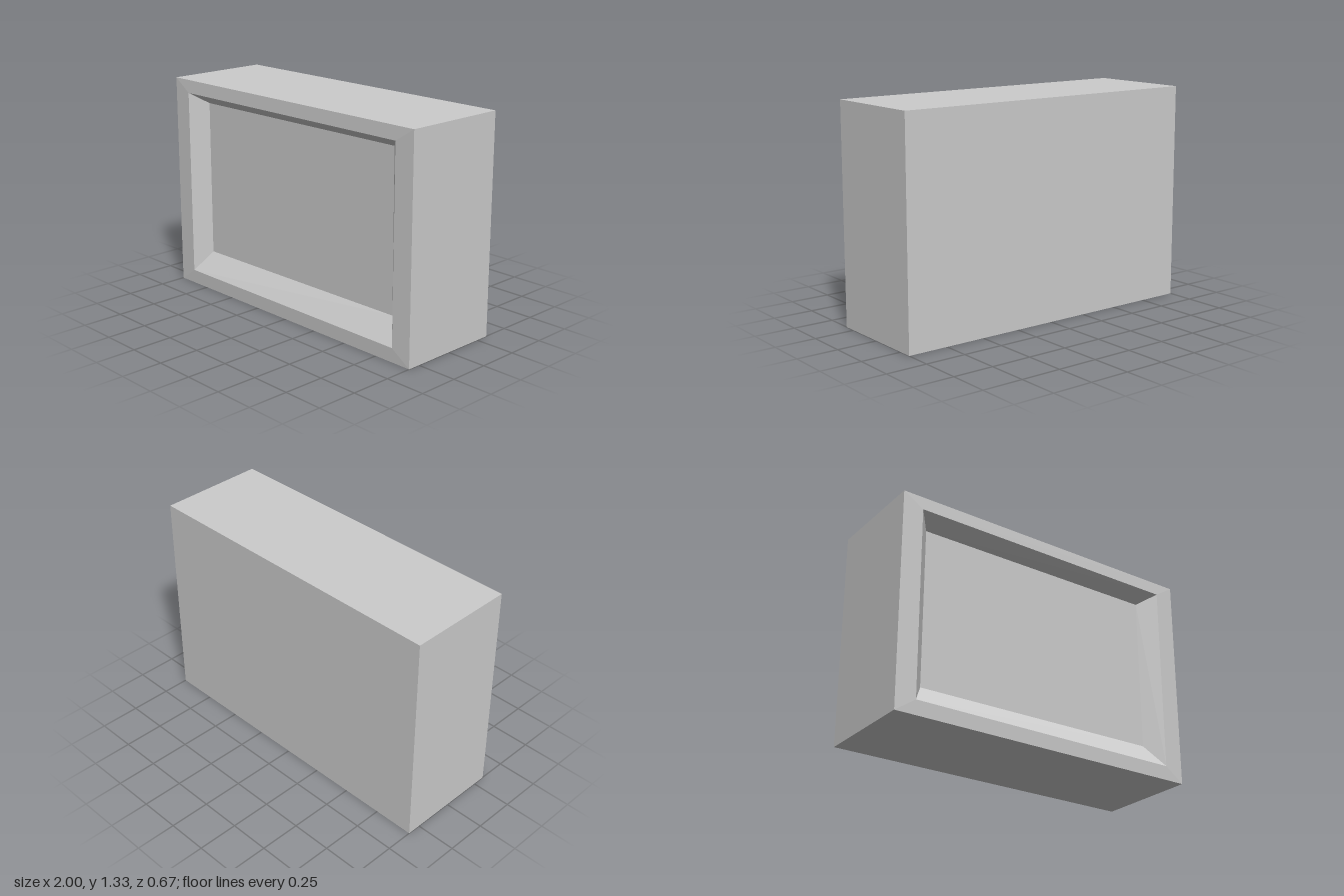
import * as THREE from 'three';

// Corner loops, anticlockwise seen from the front: bottom left, bottom right, top right, top left
const rect = (x, y0, y1, z) => [[-x, y0, z], [x, y0, z], [x, y1, z], [-x, y1, z]];

const H = 1.333;
const back = rect(1, 0, H, -0.333);
const front = rect(1, 0, H, 0.329);
const rim = rect(0.875, 0.087, 1.252, 0.333);
const inner = [
  [-0.795, 0.211, 0.235],
  [0.784, 0.224, 0.235],
  [0.779, 1.191, 0.235],
  [-0.793, 1.186, 0.235],
];

// Four-sided band joining two corner loops
function band(a, b) {
  return a.map((p, i) => {
    const j = (i + 1) % a.length;
    return [p, a[j], b[j], b[i]];
  });
}

function quadMesh(name, quads, material) {
  const points = quads.flatMap(([a, b, c, d]) => [a, b, c, a, c, d]).flat();
  const geometry = new THREE.BufferGeometry();
  geometry.setAttribute('position', new THREE.Float32BufferAttribute(points, 3));
  geometry.computeVertexNormals();
  const mesh = new THREE.Mesh(geometry, material);
  mesh.name = name;
  return mesh;
}

export function createModel() {
  const group = new THREE.Group();
  group.name = 'screenBox';
  const material = new THREE.MeshStandardMaterial({ color: 0xcccccc, flatShading: true });

  // Outer walls and closed back
  group.add(quadMesh('casing', [...band(back, front), [...back].reverse()], material));
  // Front frame around the opening
  group.add(quadMesh('frontFrame', band(front, rim), material));
  // Slanted sides leading into the recess
  group.add(quadMesh('recessSides', band(rim, inner), material));
  // Slightly uneven recessed panel
  group.add(quadMesh('recessPanel', [inner], material));

  return group;
}
